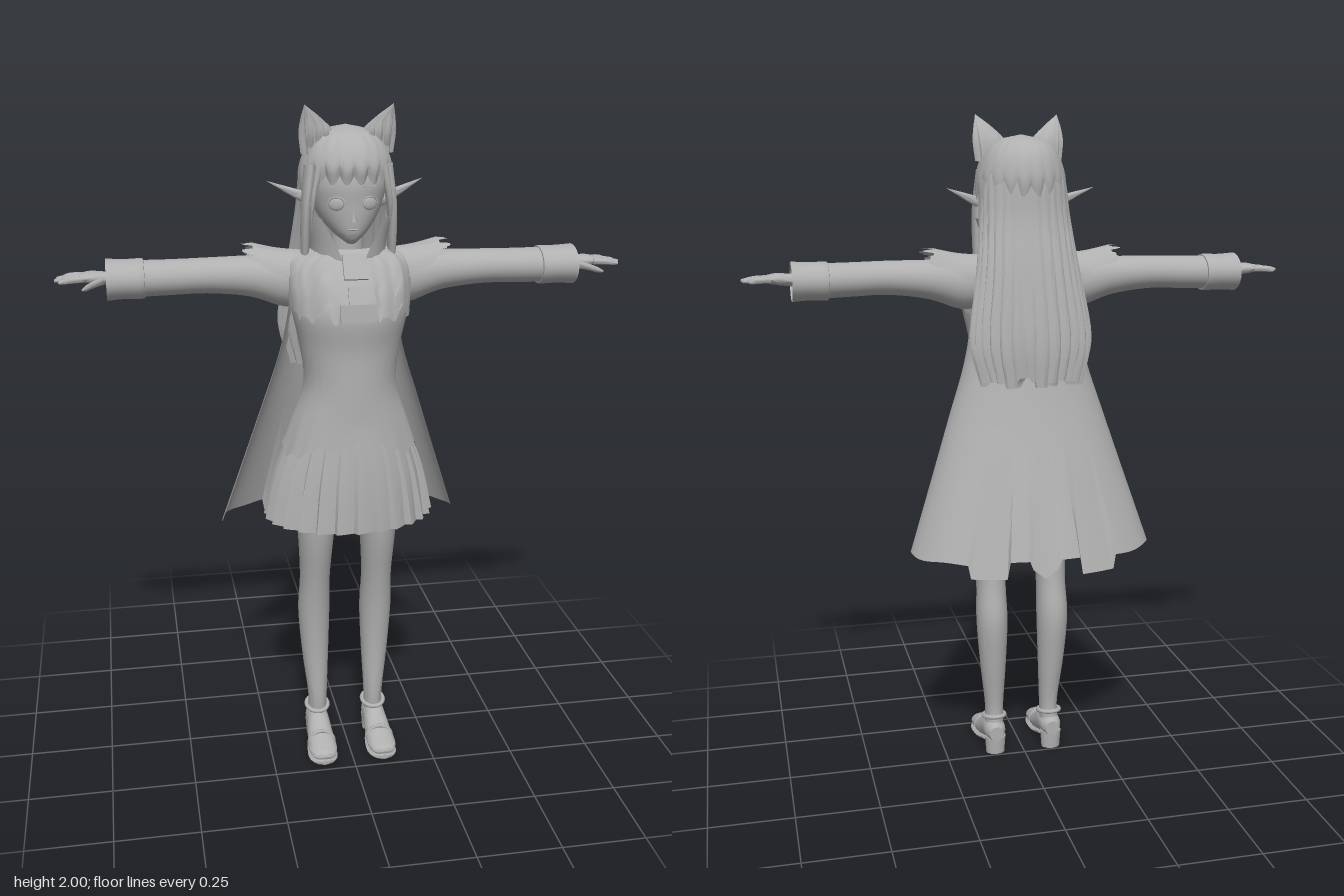
import * as THREE from 'three';
import { toCreasedNormals } from 'three/addons/utils/BufferGeometryUtils.js';

const RAD = Math.PI / 180;
const lerp = THREE.MathUtils.lerp;

// Smooth surface through elliptical sections [height, centreX, centreZ, radiusX, radiusZ], lowest first.
// mod(a, t) scales the radius, lift(a, t) shifts the height, arc(t) gives an open range of angles.
function loft(keys, { n = 24, steps = 14, mod, lift, arc, cap = true, crease = 0.8, linear = false } = {}) {
  const tension = linear ? 0 : 0.5;
  const path = new THREE.CatmullRomCurve3(keys.map(k => new THREE.Vector3(k[0], k[1], k[2])), false, 'catmullrom', tension);
  const size = new THREE.CatmullRomCurve3(keys.map(k => new THREE.Vector3(k[3], k[4], 0)), false, 'catmullrom', tension);
  const pos = [], index = [];
  const row = (t, shrink) => {
    const p = path.getPoint(t), r = size.getPoint(t);
    const [a0, a1] = arc ? arc(t) : [0, 360];
    for (let j = 0; j < (arc ? n + 1 : n); j++) {
      const a = lerp(a0, a1, j / n) * RAD;
      const m = shrink * (mod ? mod(a, t) : 1);
      pos.push(p.y + Math.max(r.x, 0) * m * Math.sin(a), p.x + (lift ? lift(a, t) : 0), p.z + Math.max(r.y, 0) * m * Math.cos(a));
    }
  };
  const capped = cap && !arc;
  if (capped) row(0, 0);
  for (let i = 0; i <= steps; i++) row(i / steps, 1);
  if (capped) row(1, 0);
  const w = arc ? n + 1 : n, rows = pos.length / 3 / w;
  for (let i = 0; i < rows - 1; i++) for (let j = 0; j < n; j++) {
    const a = i * w + j, b = i * w + (j + 1) % w;
    index.push(a, b, b + w, a, b + w, a + w);
  }
  const g = new THREE.BufferGeometry();
  g.setAttribute('position', new THREE.Float32BufferAttribute(pos, 3));
  g.setIndex(index);
  return toCreasedNormals(g, crease);
}

const alongX = (keys, o) => loft(keys.map(([x, y, z, ry, rz]) => [x, -y, z, ry, rz]), o).rotateZ(-Math.PI / 2);
const alongZ = (keys, o) => loft(keys.map(([z, x, y, rx, ry]) => [z, x, -y, rx, ry]), o).rotateX(Math.PI / 2);

// Copy across the middle plane, with the corner order turned round
function mirrored(geo) {
  const g = (geo.index ? geo.toNonIndexed() : geo.clone()).scale(-1, 1, 1);
  for (const at of Object.values(g.attributes)) {
    const s = at.itemSize;
    for (let i = 0; i < at.count; i += 3) for (let k = 0; k < s; k++) {
      const b = (i + 1) * s + k, c = (i + 2) * s + k;
      [at.array[b], at.array[c]] = [at.array[c], at.array[b]];
    }
  }
  return g;
}

// Torn cloth edge: uneven square steps
const torn = a => (Math.sin(a * 7) > 0.2 ? 1 : 0) * 0.6 + (Math.sin(a * 11 + 1) > 0.4 ? 1 : 0) * 0.4;

export function createModel() {
  const model = new THREE.Group();
  const grey = new THREE.MeshStandardMaterial({ color: 0xb0b0b0, side: THREE.DoubleSide });
  grey.name = 'grey';
  const add = (name, geo) => {
    const m = new THREE.Mesh(geo, grey);
    m.name = name;
    model.add(m);
  };
  const pair = (name, geo) => {
    add(name + 'Left', geo);
    add(name + 'Right', mirrored(geo));
  };

  // Head and face
  add('head', loft([[1.625, 0, 0.14, 0.012, 0.02], [1.65, 0, 0.115, 0.045, 0.062], [1.69, 0, 0.085, 0.08, 0.098],
    [1.74, 0, 0.067, 0.104, 0.118], [1.8, 0, 0.06, 0.115, 0.125], [1.88, 0, 0.055, 0.085, 0.1], [1.91, 0, 0.055, 0.03, 0.04]], { n: 32, steps: 24 }));
  add('nose', new THREE.ConeGeometry(0.009, 0.03, 8).translate(0, 1.705, 0.187));
  add('mouth', new THREE.SphereGeometry(1, 12, 8).scale(0.017, 0.003, 0.004).translate(0, 1.668, 0.179));
  pair('eye', new THREE.SphereGeometry(1, 16, 12).scale(0.022, 0.018, 0.006).rotateY(0.4).translate(0.047, 1.738, 0.172));
  pair('upperLash', new THREE.TorusGeometry(0.024, 0.003, 6, 14, Math.PI).scale(1, 0.8, 1).rotateY(0.4).translate(0.047, 1.738, 0.176));
  pair('eyebrow', new THREE.BoxGeometry(0.04, 0.004, 0.006).rotateY(0.4).translate(0.046, 1.785, 0.177));
  add('neck', loft([[1.56, 0, 0.07, 0.05, 0.05], [1.68, 0, 0.075, 0.042, 0.045]], { steps: 3 }));
  pair('pointedEar', alongX([[0.095, 1.735, 0.09, 0.02, 0.012], [0.15, 1.758, 0.075, 0.013, 0.008], [0.225, 1.79, 0.052, 0, 0]], { n: 12, steps: 8 }));

  // Hair: scalloped crown with fringe, long back and side locks
  const strands = (count, depth) => a => 1 - depth + depth * Math.abs(Math.sin(a * count / 2));
  add('fringe', loft([[1.775, 0, 0.056, 0.13, 0.136], [1.83, 0, 0.056, 0.134, 0.142], [1.89, 0, 0.052, 0.11, 0.118],
    [1.925, 0, 0.05, 0.07, 0.075], [1.942, 0, 0.05, 0, 0]], {
    n: 160, steps: 18, cap: false, mod: (a, t) => 1 - (1 - t) * 0.05 * (1 - Math.abs(Math.sin(a * 10))),
    lift: (a, t) => (1 - t) ** 2 * ((Math.cos(a) > 0.45 ? 0.04 : 0) - 0.025 * Math.abs(Math.sin(a * 10)))
  }));
  add('longHair', loft([[1.24, 0, -0.095, 0.155, 0.062], [1.36, 0, -0.08, 0.183, 0.076], [1.55, 0, -0.045, 0.155, 0.08],
    [1.7, 0, 0, 0.137, 0.09], [1.82, 0, 0.035, 0.128, 0.112], [1.89, 0, 0.045, 0.1, 0.1]], {
    n: 168, steps: 22, mod: (a, t) => lerp(strands(28, 0.09)(a), 1, t),
    lift: (a, t) => (1 - t) ** 4 * 0.03 * (torn(a) - 0.5)
  }));
  pair('sideLock', loft([[1.5, 0.128, 0.09, 0, 0], [1.58, 0.125, 0.1, 0.011, 0.022], [1.72, 0.122, 0.11, 0.014, 0.036],
    [1.84, 0.106, 0.1, 0.018, 0.04]], { n: 14, steps: 12 }));
  pair('thinLock', loft([[1.66, 0.112, 0.14, 0, 0], [1.74, 0.108, 0.15, 0.007, 0.011], [1.84, 0.09, 0.15, 0.011, 0.013]], { n: 10, steps: 8 }));

  // Animal ears with tufts
  pair('topEar', loft([[1.865, 0.083, 0.08, 0.048, 0.028], [1.92, 0.087, 0.085, 0.05, 0.026], [1.96, 0.103, 0.095, 0.03, 0.016],
    [2.0, 0.124, 0.112, 0, 0]], { n: 28, steps: 12, mod: strands(14, 0.12) }));
  for (let i = 0; i < 3; i++) {
    const x = 0.062 + i * 0.022;
    pair('earTuft' + i, loft([[1.885, x, 0.1, 0.011, 0.008], [1.925, x + 0.002, 0.113, 0.008, 0.006],
      [1.955 + i * 0.012, x + 0.008, 0.114, 0, 0]], { n: 8, steps: 6 }));
  }

  // Tunic with torn hem
  const body = [[1.01, 0, 0.115, 0.2, 0.14], [1.1, 0, 0.122, 0.172, 0.13], [1.22, 0, 0.125, 0.135, 0.127],
    [1.33, 0, 0.125, 0.145, 0.127], [1.43, 0, 0.125, 0.166, 0.139], [1.5, 0, 0.112, 0.17, 0.13], [1.57, 0, 0.09, 0.16, 0.108], [1.61, 0, 0.075, 0.09, 0.085]];
  add('tunic', loft(body, {
    n: 96, steps: 30, cap: false,
    lift: (a, t) => Math.max(0, 1 - t * 4) * (0.025 * torn(a) + 0.055 * Math.max(0, Math.cos(a)) ** 6)
  }));
  // Capelet over the chest, open at the middle
  add('capelet', loft(body.slice(4).map(([y, x, z, rx, rz]) => [y, x, z, rx + 0.006, rz + 0.006]), {
    n: 80, steps: 12, arc: t => [lerp(20, 6, t), lerp(340, 354, t)],
    lift: (a, t) => (1 - t) * (0.035 * torn(a * 1.3) - 0.01)
  }));
  add('chestBand', new THREE.BoxGeometry(0.068, 0.075, 0.008).rotateX(-0.55).translate(0, 1.57, 0.208));
  add('chestPlate', new THREE.BoxGeometry(0.05, 0.05, 0.008).rotateX(-0.4).translate(0, 1.495, 0.243));
  add('chestPlateBase', new THREE.BoxGeometry(0.1, 0.05, 0.008).rotateX(-0.08).translate(0, 1.45, 0.262));
  add('collar', loft([[1.575, 0, 0.085, 0.105, 0.108], [1.63, 0, 0.082, 0.112, 0.116], [1.7, 0, 0.08, 0.132, 0.122]], {
    n: 48, steps: 8, arc: t => [lerp(14, 42, t), lerp(346, 318, t)]
  }));

  // Pleated skirt
  const pleats = 26;
  add('skirt', loft([[0.805, 0, 0.104, 0.256, 0.164], [0.95, 0, 0.11, 0.222, 0.146], [1.1, 0, 0.118, 0.165, 0.12]], {
    n: pleats * 6, steps: 8, cap: false, crease: 0.5,
    mod: (a, t) => 1 - 0.09 * (1 - t * 0.8) * ((a * pleats / (2 * Math.PI) + 1e-6) % 1),
    lift: (a, t) => (1 - t) * -0.013 * Math.cos(a)
  }));
  add('hips', loft([[0.88, 0, 0.095, 0.1, 0.075], [0.96, 0, 0.1, 0.15, 0.1], [1.1, 0, 0.115, 0.15, 0.11]], { steps: 8 }));

  // Cape with torn hem
  add('cape', loft([[0.725, 0, -0.07, 0.368, 0.2], [1.1, 0, -0.02, 0.245, 0.143], [1.31, 0, 0.0, 0.18, 0.112], [1.56, 0, 0.03, 0.14, 0.07]], {
    n: 120, steps: 16, arc: () => [90, 270],
    lift: (a, t) => {
      const d = Math.abs(a / RAD - 180);
      const drop = d < 7 ? -0.045 + d * 0.005 : d < 17 ? 0.01 : d < 37 ? -0.042 : 0.003 * Math.sin(a * 9);
      return Math.max(0, 1 - t * 4) * drop;
    }
  }));

  // Sleeves, cuffs and flaring shoulder flaps
  pair('sleeve', alongX([[0.11, 1.51, 0.065, 0.065, 0.06], [0.18, 1.51, 0.06, 0.076, 0.068], [0.28, 1.525, 0.058, 0.058, 0.061],
    [0.4, 1.532, 0.065, 0.05, 0.056], [0.5, 1.53, 0.062, 0.05, 0.055], [0.6, 1.528, 0.056, 0.051, 0.06]], { n: 28, steps: 20 }));
  pair('cuff', alongX([[0.575, 1.528, 0.056, 0.05, 0.062], [0.58, 1.528, 0.056, 0.056, 0.07], [0.63, 1.528, 0.056, 0.055, 0.07],
    [0.68, 1.528, 0.056, 0.058, 0.074]], { n: 28, steps: 12, cap: false }));
  pair('cuffLining', alongX([[0.6, 1.528, 0.056, 0.045, 0.058], [0.68, 1.528, 0.056, 0.052, 0.067]], { n: 28, steps: 2, cap: false }));
  pair('shoulderFlap', alongX([[0.13, 1.52, 0.06, 0.075, 0.072], [0.2, 1.52, 0.056, 0.082, 0.076], [0.285, 1.53, 0.05, 0.088, 0.074]], {
    n: 36, steps: 10, arc: t => [lerp(-185, -145, t), lerp(5, -35, t)],
    lift: (a, t) => t * t * 0.03 * (torn(a * 1.7) - 0.5)
  }));

  // Hands
  pair('palm', alongX([[0.62, 1.53, 0.056, 0.02, 0.024], [0.68, 1.533, 0.056, 0.018, 0.025], [0.72, 1.537, 0.056, 0.017, 0.036],
    [0.752, 1.537, 0.056, 0.011, 0.034]], { n: 18, steps: 8 }));
  [0.8, 0.818, 0.822, 0.81].forEach((tip, i) => {
    const z = 0.027 + i * 0.0195, fan = (i - 1.5) * 0.005;
    pair('finger' + i, alongX([[0.738, 1.537, z, 0.009, 0.0095], [0.775, 1.536, z + fan, 0.0085, 0.008],
      [tip - 0.006, 1.533, z + fan * 2, 0.006, 0.006], [tip, 1.532, z + fan * 2, 0.001, 0.001]], { n: 10, steps: 8 }));
  });
  pair('thumb', alongX([[0.685, 1.53, 0.075, 0.012, 0.012], [0.715, 1.526, 0.108, 0.01, 0.011], [0.735, 1.522, 0.137, 0.008, 0.008],
    [0.746, 1.52, 0.152, 0.002, 0.002]], { n: 10, steps: 8 }));

  // Legs
  pair('leg', loft([[0.06, 0.092, 0.045, 0.03, 0.036], [0.15, 0.09, 0.054, 0.029, 0.036], [0.3, 0.095, 0.043, 0.041, 0.045],
    [0.45, 0.098, 0.04, 0.049, 0.058], [0.57, 0.097, 0.058, 0.046, 0.058], [0.7, 0.096, 0.077, 0.053, 0.067],
    [0.82, 0.094, 0.082, 0.064, 0.078], [0.98, 0.085, 0.095, 0.08, 0.085]], { steps: 30 }));

  // Shoes with sole, heel and strap
  pair('shoe', alongZ([[0.0, 0.092, 0.07, 0.022, 0.025], [0.03, 0.092, 0.073, 0.034, 0.036], [0.08, 0.092, 0.066, 0.036, 0.044],
    [0.13, 0.093, 0.045, 0.041, 0.036], [0.19, 0.094, 0.036, 0.044, 0.022], [0.225, 0.094, 0.032, 0.032, 0.014], [0.234, 0.094, 0.03, 0.012, 0.006]], { n: 24, steps: 22 }));
  pair('sole', alongZ([[0.08, 0.093, 0.027, 0.03, 0.013], [0.13, 0.093, 0.014, 0.042, 0.014], [0.19, 0.094, 0.012, 0.046, 0.012],
    [0.225, 0.094, 0.014, 0.034, 0.012], [0.238, 0.094, 0.016, 0.012, 0.008]], { n: 16, steps: 14 }));
  pair('heel', new THREE.CylinderGeometry(0.034, 0.03, 0.055, 16).scale(1, 1, 0.8).translate(0.092, 0.0275, 0.028));
  pair('ankleStrap', new THREE.TorusGeometry(0.034, 0.007, 8, 24).rotateX(Math.PI / 2 + 0.2).scale(1, 1, 1.15).translate(0.091, 0.118, 0.05));
  pair('toeStrap', new THREE.TorusGeometry(0.04, 0.006, 8, 20, Math.PI).translate(0.093, 0.035, 0.15));
  return model;
}
